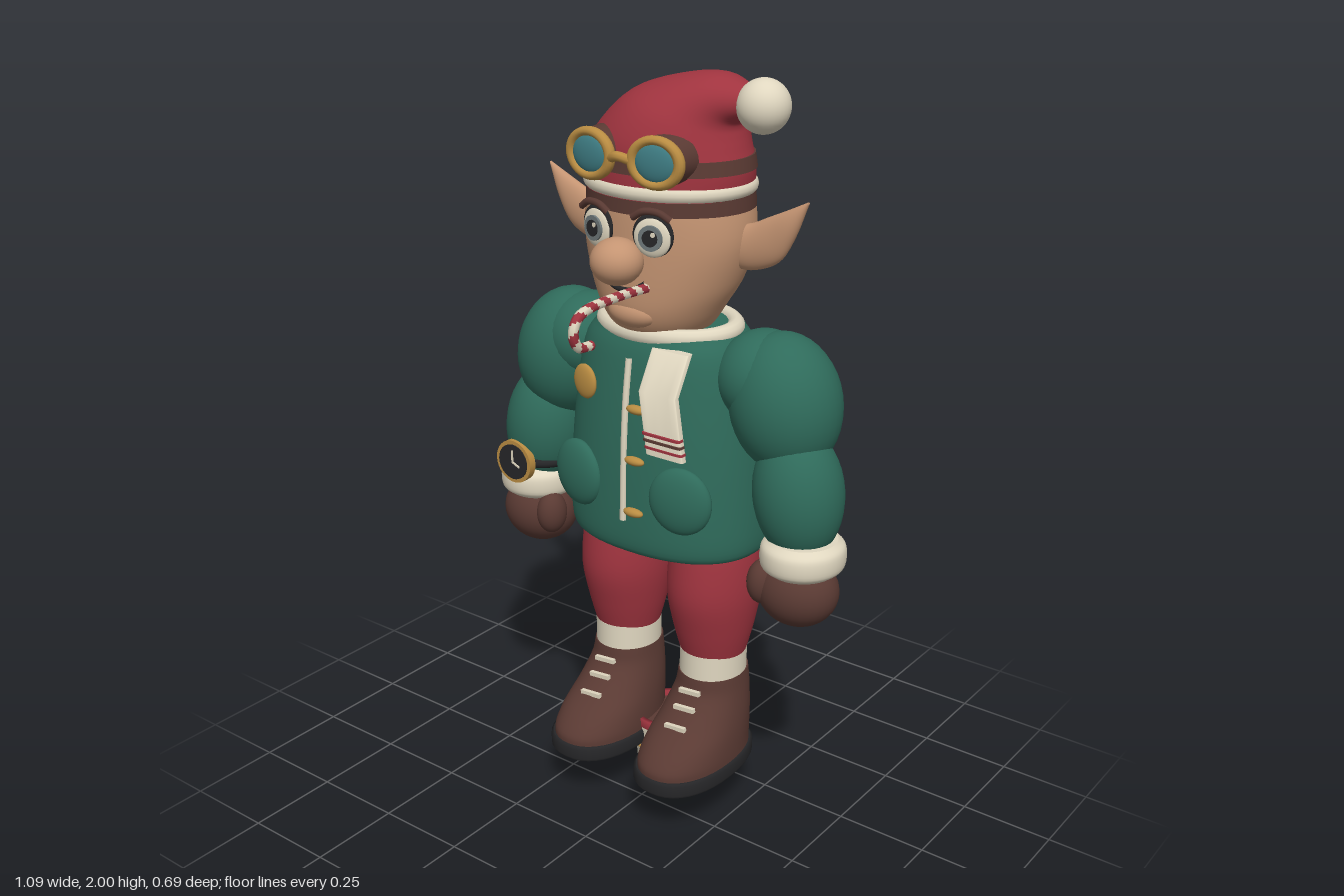
import * as THREE from 'three';

const mat = (name, color) => Object.assign(new THREE.MeshStandardMaterial({ color }), { name });
const M = {
  green: mat('coat green', 0x2f6b5b), red: mat('wool red', 0xa0343f), skin: mat('skin', 0xc49472),
  brown: mat('leather brown', 0x5a3a33), cream: mat('cream', 0xe0d7c0), black: mat('black', 0x262628),
  gold: mat('gold', 0xb98c42), teal: mat('lens teal', 0x3f7d84), iris: mat('iris grey', 0x6f797a),
};

// Loft through sections [leftX, leftY, rightX, rightY, centreZ, halfDepth]; p sets squareness
function loft(sections, { steps = 5, p = 2, n = 40 } = {}) {
  const interp = new (steps > 1 ? THREE.CubicInterpolant : THREE.LinearInterpolant)(
    sections.map((_, i) => i), sections.flat(), 6);
  const pos = [], idx = [], rows = (sections.length - 1) * steps;
  const pw = (v) => Math.sign(v) * Math.abs(v) ** (2 / p);
  for (let i = 0; i <= rows; i++) {
    const [x1, y1, x2, y2, z, d] = interp.evaluate(i / steps);
    for (let j = 0; j < n; j++) {
      const a = (j / n) * Math.PI * 2, c = pw(Math.cos(a)) / 2;
      pos.push((x1 + x2) / 2 + (x2 - x1) * c, (y1 + y2) / 2 + (y2 - y1) * c, z + d * pw(Math.sin(a)));
      if (i < rows) {
        const k = i * n + j, m = i * n + ((j + 1) % n);
        idx.push(k, k + n, m, m, k + n, m + n);
      }
    }
  }
  // end caps with their own vertices keep the rims crisp
  for (const [row, s] of [[0, 0], [rows, sections.length - 1]]) {
    const base = pos.length / 3, [x1, y1, x2, y2, z] = sections[s];
    for (let j = 0; j < n * 3; j++) pos.push(pos[row * n * 3 + j]);
    pos.push((x1 + x2) / 2, (y1 + y2) / 2, z);
    for (let j = 0; j < n; j++) {
      const a = base + j, b = base + ((j + 1) % n);
      idx.push(base + n, ...(row ? [b, a] : [a, b]));
    }
  }
  const g = new THREE.BufferGeometry();
  g.setAttribute('position', new THREE.Float32BufferAttribute(pos, 3));
  g.setIndex(idx);
  g.computeVertexNormals();
  return g;
}
// Upright section: height, half width, centre z, half depth, centre x
const ring = (y, rx, z, rz, x = 0) => [x - rx, y, x + rx, y, z, rz];
const curve = (pts) => new THREE.CatmullRomCurve3(pts.map((p) => new THREE.Vector3(...p)));
const tube = (pts, r, seg = 32) => new THREE.TubeGeometry(curve(pts), seg, r, 8);

export function createModel() {
  const root = new THREE.Group();
  const add = (name, geo, m, x = 0, y = 0, z = 0, parent = root) => {
    const mesh = new THREE.Mesh(geo, m);
    mesh.name = name;
    mesh.position.set(x, y, z);
    parent.add(mesh);
    return mesh;
  };
  const ball = (name, m, x, y, z, rx, ry = rx, rz = rx, parent = root) =>
    add(name, new THREE.SphereGeometry(1, 32, 20).scale(rx, ry, rz), m, x, y, z, parent);
  const hoop = (name, m, x, y, z, rx, rz, t) =>
    add(name, new THREE.TorusGeometry(1, t / rx, 12, 48).rotateX(Math.PI / 2).scale(rx, rx, rz), m, x, y, z);
  const disc = (name, m, r, d, x, y, z, parent = root) =>
    add(name, new THREE.CylinderGeometry(r, r, d, 32).rotateX(Math.PI / 2), m, x, y, z, parent);

  // Mug
  const lathe = (pts) => new THREE.LatheGeometry(pts.map((p) => new THREE.Vector2(...p)), 40);
  add('mugBody', lathe([[0, 0.003], [0.087, 0.003], [0.1, 0.2]]), M.cream, 0, 0, -0.13);
  add('mugFoot', lathe([[0.08, 0], [0.089, 0], [0.09, 0.014], [0.08, 0.014]]), M.red, 0, 0, -0.13);
  add('mugRim', lathe([[0.098, 0.195], [0.103, 0.197], [0.103, 0.222], [0.09, 0.222], [0.09, 0.195]]), M.red, 0, 0, -0.13);
  disc('mugDrink', M.brown, 0.092, 0.01, 0, 0.2, -0.13).rotation.x = Math.PI / 2;
  add('mugHandle', tube([[0.085, 0.17, -0.13], [0.15, 0.17, -0.13], [0.18, 0.12, -0.13], [0.15, 0.055, -0.13], [0.085, 0.045, -0.13]], 0.017), M.red);
  const star = new THREE.Shape();
  for (let i = 0; i < 10; i++) {
    const r = i % 2 ? 0.016 : 0.038, a = Math.PI / 2 + (i * Math.PI) / 5;
    star[i ? 'lineTo' : 'moveTo'](r * Math.cos(a), r * Math.sin(a));
  }
  add('mugStar', new THREE.ExtrudeGeometry(star, { depth: 0.009, bevelEnabled: false }), M.gold, 0, 0.122, -0.038);

  // Coat
  add('coat', loft([ring(0.775, 0.25, -0.13, 0.175), ring(0.8, 0.278, -0.13, 0.203), ring(0.9, 0.281, -0.13, 0.21),
    ring(1.1, 0.267, -0.128, 0.202), ring(1.3, 0.235, -0.122, 0.175), ring(1.375, 0.19, -0.12, 0.15)], { p: 2.3, n: 56 }), M.green);
  hoop('collar', M.cream, 0, 1.365, -0.118, 0.178, 0.143, 0.024);
  add('zip', tube([[0, 0.88, 0.08], [0, 1.0, 0.077], [0, 1.1, 0.074], [0, 1.2, 0.067], [0, 1.31, 0.053]], 0.009), M.cream);
  for (const [y, z] of [[1.185, 0.07], [1.05, 0.078], [0.91, 0.083]]) ball('toggle', M.gold, 0.035, y, z, 0.03, 0.012, 0.014);
  ball('badge', M.gold, -0.14, 1.22, 0.055, 0.042, 0.046, 0.014).rotation.y = -0.2;

  // Scarf end
  const scarf = [[0.125, 1.115, 0.235, 1.115, 0.14, 0.01], [0.09, 1.265, 0.2, 1.265, 0.125, 0.01], [0.06, 1.345, 0.17, 1.345, 0.03, 0.012]];
  add('scarf', loft(scarf, { steps: 1, p: 8 }), M.cream);
  for (const [y, m] of [[1.13, M.red], [1.148, M.brown], [1.164, M.red]]) {
    const s = 0.125 - (y - 1.115) * 0.233;
    add('scarfStripe', loft([[s - 0.001, y, s + 0.111, y, 0.139, 0.012], [s - 0.002, y + 0.006, s + 0.11, y + 0.006, 0.139, 0.012]], { steps: 1, p: 8 }), m);
  }

  for (const s of [-1, 1]) {
    const side = s > 0 ? 'left' : 'right', x = s * 0.145;
    // Leg and boot
    add(side + 'Leg', loft([ring(0.46, 0.085, -0.13, 0.09, x), ring(0.55, 0.106, -0.13, 0.117, x), ring(0.65, 0.12, -0.13, 0.14, x),
      ring(0.75, 0.116, -0.13, 0.135, x), ring(0.83, 0.1, -0.13, 0.12, x)]), M.red);
    add(side + 'Sock', loft([ring(0.4, 0.088, -0.13, 0.097, x), ring(0.48, 0.088, -0.13, 0.097, x)]), M.cream);
    add(side + 'Boot', loft([ring(0.18, 0.119, -0.045, 0.193, x), ring(0.21, 0.118, -0.047, 0.19, x), ring(0.25, 0.114, -0.066, 0.172, x),
      ring(0.3, 0.106, -0.1, 0.137, x), ring(0.36, 0.095, -0.127, 0.108, x), ring(0.41, 0.088, -0.132, 0.1, x)], { p: 2.2 }), M.brown);
    add(side + 'Sole', loft([ring(0.145, 0.123, -0.045, 0.198, x), ring(0.152, 0.126, -0.045, 0.202, x),
      ring(0.18, 0.126, -0.045, 0.202, x), ring(0.187, 0.12, -0.045, 0.196, x)], { steps: 1, p: 2.3 }), M.black);
    for (const [y, z] of [[0.375, -0.021], [0.335, 0.003], [0.295, 0.043]])
      add(side + 'Lace', new THREE.BoxGeometry(0.065, 0.012, 0.012), M.cream, x, y, z).rotation.z = 0.1;

    // Arm, cuff and mitten
    ball(side + 'Shoulder', M.green, s * 0.28, 1.27, -0.13, 0.12, 0.12, 0.125);
    ball(side + 'UpperArm', M.green, s * 0.345, 1.215, -0.13, 0.143, 0.18, 0.14).rotation.z = s * 0.2;
    ball(side + 'Forearm', M.green, s * 0.408, 1.0, -0.105, 0.115, 0.175, 0.116).rotation.z = s * 0.12;
    add(side + 'Cuff', loft([ring(0.8, 0.085, -0.098, 0.09, s * 0.433), ring(0.82, 0.105, -0.098, 0.112, s * 0.433),
      ring(0.865, 0.105, -0.098, 0.112, s * 0.433), ring(0.887, 0.085, -0.098, 0.09, s * 0.433)]), M.cream);
    ball(side + 'Mitten', M.brown, s * 0.427, 0.745, -0.09, 0.108, 0.095, 0.096);
    ball(side + 'Thumb', M.brown, s * 0.35, 0.762, -0.045, 0.04, 0.06, 0.045);
    ball(side + 'Pocket', M.green, s * 0.163, 0.965, 0.056, 0.086, 0.09, 0.032).rotation.y = s * 0.2;

    // Ear
    const ear = [[0.17, 1.64, 0.17, 1.54, -0.12, 0.03], [0.235, 1.65, 0.24, 1.535, -0.122, 0.028], [0.285, 1.672, 0.315, 1.565, -0.122, 0.025],
      [0.34, 1.697, 0.357, 1.628, -0.122, 0.02], [0.392, 1.722, 0.393, 1.716, -0.122, 0.004]];
    add(side + 'Ear', loft(ear.map(([a, b, c, d, z, r]) => (s > 0 ? [a, b, c, d, z, r] : [-c, d, -a, b, z, r]))), M.skin);

    // Eye, layered from rim to glint
    const eye = new THREE.Group();
    eye.name = side + 'Eye';
    eye.position.set(s * 0.083, 1.63, 0.066);
    eye.rotation.y = s * 0.2;
    root.add(eye);
    ball('eyeRim', M.black, 0, 0.004, 0, 0.054, 0.053, 0.012, eye);
    ball('eyeWhite', M.cream, 0, 0, 0.003, 0.049, 0.049, 0.013, eye);
    disc('iris', M.iris, 0.031, 0.006, 0, 0, 0.016, eye);
    disc('pupil', M.black, 0.02, 0.006, 0, 0, 0.018, eye);
    disc('glint', M.cream, 0.006, 0.006, 0.009, 0.01, 0.02, eye);
    add('eyebrow', tube([[-0.05, 0.045, 0.01], [-0.02, 0.062, 0.014], [0.02, 0.062, 0.014], [0.05, 0.045, 0.01]], 0.009), M.brown, 0, 0, 0, eye);

    // Goggle half
    const goggle = new THREE.Group();
    goggle.name = side + 'Goggle';
    goggle.position.set(s * 0.097, 1.808, 0.076);
    goggle.rotation.y = s * 0.1;
    goggle.scale.y = 0.82;
    root.add(goggle);
    add('eyecup', new THREE.CylinderGeometry(0.07, 0.078, 0.06, 32).rotateX(Math.PI / 2), M.brown, 0, 0, -0.035, goggle);
    add('rim', new THREE.TorusGeometry(0.064, 0.014, 12, 40), M.gold, 0, 0, 0, goggle);
    ball('lens', M.teal, 0, 0, 0, 0.058, 0.058, 0.016, goggle);
  }
  add('goggleBridge', tube([[-0.035, 1.805, 0.082], [0, 1.815, 0.094], [0.035, 1.805, 0.082]], 0.012), M.gold);

  // Wristwatch
  hoop('watchBand', M.black, -0.43, 0.912, -0.1, 0.105, 0.1, 0.014);
  disc('watchCase', M.gold, 0.061, 0.022, -0.43, 0.913, 0.008);
  disc('watchDial', M.black, 0.05, 0.006, -0.43, 0.913, 0.019);
  add('minuteHand', new THREE.BoxGeometry(0.005, 0.036, 0.004), M.cream, -0.43, 0.929, 0.023);
  add('hourHand', new THREE.BoxGeometry(0.028, 0.005, 0.004), M.cream, -0.418, 0.908, 0.023).rotation.z = -0.4;

  // Head and face
  add('head', loft([ring(1.34, 0.09, -0.1, 0.1), ring(1.38, 0.13, -0.092, 0.135), ring(1.43, 0.163, -0.092, 0.158), ring(1.5, 0.2, -0.106, 0.178),
    ring(1.6, 0.227, -0.115, 0.187), ring(1.7, 0.216, -0.115, 0.184), ring(1.76, 0.19, -0.115, 0.165)], { n: 56 }), M.skin);
  ball('chin', M.skin, 0, 1.425, 0.03, 0.075, 0.04, 0.045);
  ball('nose', M.skin, 0, 1.565, 0.1, 0.066, 0.058, 0.065);
  add('smile', tube([[-0.058, 1.512, 0.066], [-0.03, 1.494, 0.072], [0, 1.489, 0.074], [0.03, 1.494, 0.072], [0.06, 1.512, 0.066]], 0.007), M.black);

  // Candy cane: one tube split into two spiral stripes
  const cane = tube([[0.058, 1.5, 0.06], [0.058, 1.504, 0.18], [0.058, 1.498, 0.29], [0.058, 1.482, 0.323],
    [0.058, 1.45, 0.335], [0.058, 1.417, 0.318], [0.058, 1.41, 0.275]], 0.0125, 64);
  const quads = [[], []], src = cane.index.array;
  for (let q = 0; q < src.length / 6; q++)
    quads[(((q >> 3) + (q & 7)) >> 2) % 2].push(...src.slice(q * 6, q * 6 + 6));
  quads.forEach((idx, i) => add(i ? 'caneCream' : 'caneRed', cane.clone().setIndex(idx), i ? M.cream : M.red));
  ball('caneTip', M.red, 0.058, 1.41, 0.275, 0.0125);

  // Hair and hat
  add('hair', loft([ring(1.675, 0.222, -0.116, 0.189), ring(1.72, 0.219, -0.115, 0.187)], { steps: 1 }), M.brown);
  add('hat', loft([[-0.218, 1.71, 0.218, 1.71, -0.113, 0.187], [-0.216, 1.78, 0.22, 1.775, -0.112, 0.185], [-0.182, 1.86, 0.207, 1.82, -0.112, 0.178],
    [-0.09, 1.945, 0.197, 1.85, -0.115, 0.155], [0.03, 1.985, 0.192, 1.87, -0.118, 0.122], [0.14, 1.998, 0.198, 1.885, -0.118, 0.085],
    [0.22, 1.975, 0.228, 1.9, -0.117, 0.045]], { n: 48 }), M.red);
  hoop('hatBrim', M.cream, 0, 1.727, -0.113, 0.207, 0.177, 0.02);
  add('goggleStrap', loft([[-0.221, 1.77, 0.224, 1.77, -0.112, 0.19], [-0.212, 1.812, 0.217, 1.804, -0.112, 0.187]], { steps: 1 }), M.brown);
  ball('pompom', M.cream, 0.265, 1.93, -0.115, 0.065);
  return root;
}
